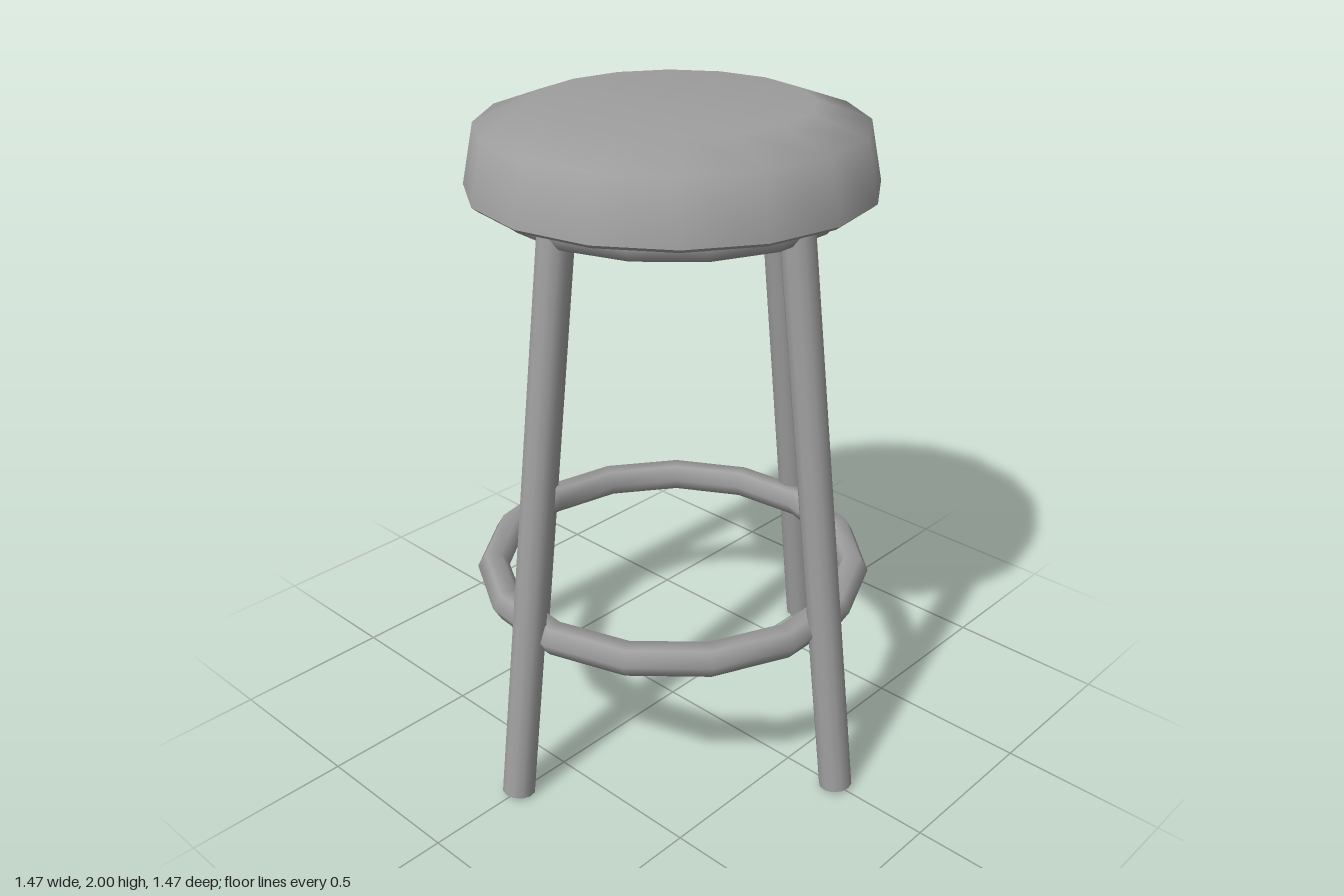
import * as THREE from 'three';

const material = new THREE.MeshStandardMaterial({ color: 0x9e9e9e });

function addMesh(parent, name, geometry) {
  const mesh = new THREE.Mesh(geometry, material);
  mesh.name = name;
  parent.add(mesh);
  return mesh;
}

// Lathe with 16 sides from [radius, height] pairs, listed from bottom to top
function lathe(points) {
  return new THREE.LatheGeometry(points.map(([r, y]) => new THREE.Vector2(r, y)), 16);
}

// Horizontal ring of hexagonal section with 15 segments, one corner at the back
function ring(outerRadius, tube) {
  return new THREE.TorusGeometry(outerRadius - tube, tube, 6, 15)
    .rotateX(Math.PI / 2)
    .rotateY(Math.PI / 2);
}

export function createModel() {
  const stool = new THREE.Group();
  stool.name = 'stool';

  // Padded seat with a smooth top, and a flat underside with a small bevel
  const seat = new THREE.Group();
  seat.name = 'seat';
  stool.add(seat);
  addMesh(seat, 'cushion', lathe([[0.593, 1.769], [0.557, 1.945], [0.4, 2], [0, 2]]));
  addMesh(seat, 'seatBevel', lathe([[0.58, 1.758], [0.593, 1.769]]));
  addMesh(seat, 'seatUnderside', lathe([[0, 1.758], [0.58, 1.758]]));

  // Ring sunk into the underside of the seat, and foot ring
  addMesh(stool, 'seatRing', ring(0.513, 0.05)).position.y = 1.742;
  addMesh(stool, 'footRing', ring(0.621, 0.05)).position.y = 0.53;

  // Four splayed legs, cut square to their axis
  const top = new THREE.Vector3(0, 1.74, 0.453);
  const foot = new THREE.Vector3(0, 0.007, 0.686);
  const axis = top.clone().sub(foot);
  const legGeometry = new THREE.CylinderGeometry(0.05, 0.05, axis.length(), 12)
    .rotateX(Math.atan2(axis.z, axis.y))
    .translate(0, (top.y + foot.y) / 2, (top.z + foot.z) / 2);
  ['frontLeg', 'leftLeg', 'backLeg', 'rightLeg'].forEach((name, i) => {
    addMesh(stool, name, legGeometry).rotation.y = (i * Math.PI) / 2;
  });

  return stool;
}
